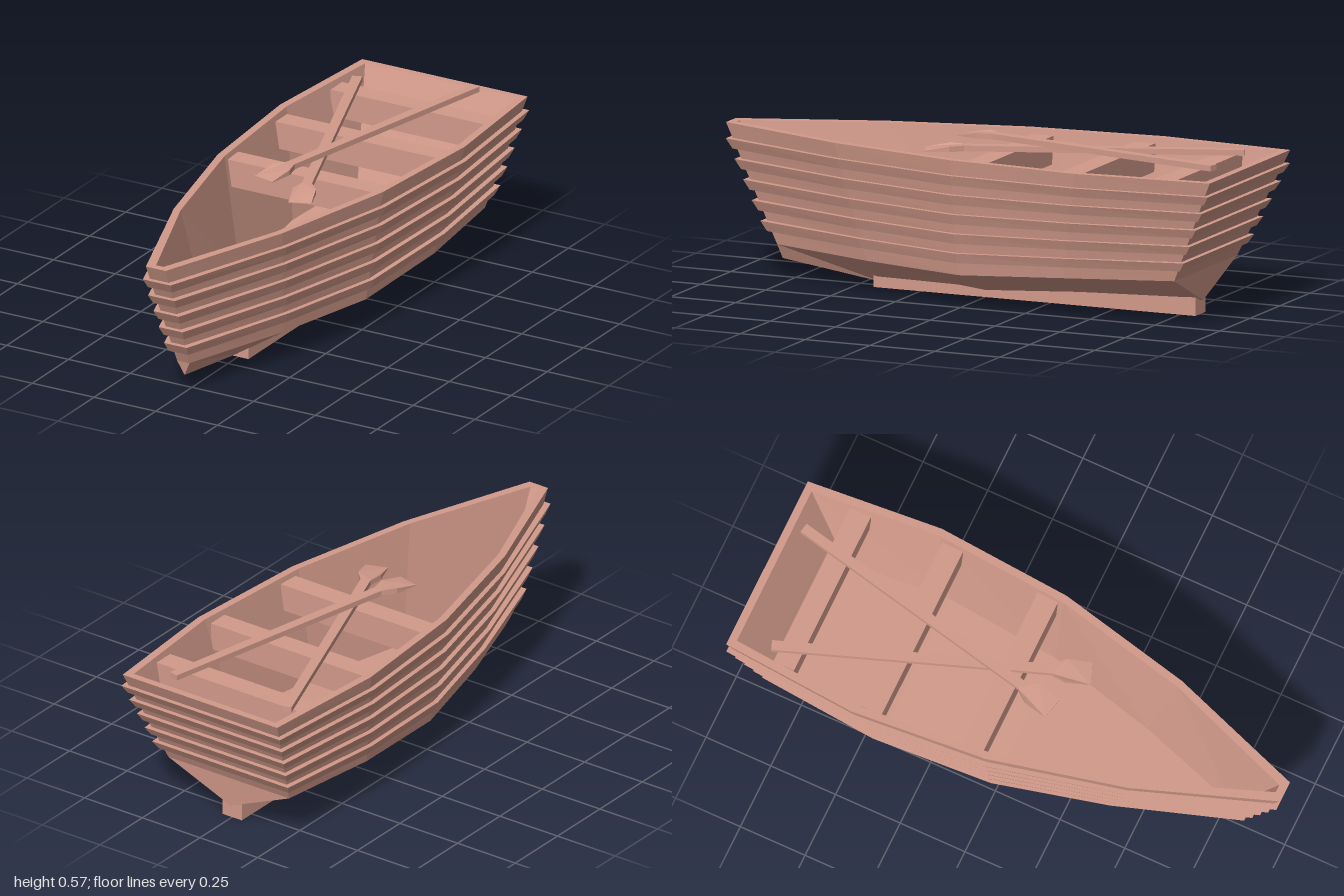
import * as THREE from 'three';

const wood = new THREE.MeshStandardMaterial({ color: 0xd29a8a, flatShading: true, side: THREE.DoubleSide });

// Half-hull stations from stern to bow: [half width, y, z]
const rim = [[0.335, 0.54, -1], [0.375, 0.54, -0.5], [0.335, 0.54, 0], [0.22, 0.54, 0.5], [0.04, 0.54, 1]];
const chine = [[0.262, 0.165, -0.83], [0.297, 0.148, -0.42], [0.265, 0.118, 0], [0.165, 0.118, 0.4], [0.025, 0.118, 0.81]];
const keelLine = [[0, 0.05, -0.82], [0, 0.035, -0.42], [0, 0.008, 0], [0, 0.012, 0.42], [0, 0.065, 0.8]];

// Mirrors half stations into a closed loop around the boat
const loop = (half) => [...half, ...half.map(([x, y, z]) => [-x, y, z]).reverse()];

// Loop at height t between chine (0) and rim (1), pushed outwards by d
function ringAt(t, d = 0) {
  return loop(chine.map((c, i) => {
    const [x, y, z] = c.map((v, k) => v + (rim[i][k] - v) * t);
    const end = i === 0 ? -d : i === 4 ? d : 0;
    return [Math.max(x + d, 0.015), y, z + end];
  }));
}

// Skins a list of closed loops
function loft(name, rings) {
  const pos = [];
  const n = rings[0].length;
  for (let k = 0; k < rings.length - 1; k++) {
    for (let i = 0; i < n; i++) {
      const j = (i + 1) % n;
      const [a, b, c, d] = [rings[k][i], rings[k][j], rings[k + 1][j], rings[k + 1][i]];
      pos.push(...a, ...d, ...c, ...a, ...c, ...b);
    }
  }
  const geo = new THREE.BufferGeometry();
  geo.setAttribute('position', new THREE.Float32BufferAttribute(pos, 3));
  geo.computeVertexNormals();
  const mesh = new THREE.Mesh(geo, wood);
  mesh.name = name;
  return mesh;
}

function box(name, w, h, d, x, y, z) {
  const mesh = new THREE.Mesh(new THREE.BoxGeometry(w, h, d), wood);
  mesh.name = name;
  mesh.position.set(x, y, z);
  return mesh;
}

// Oar lying flat from its handle end to its blade tip, given as [x, z]
function oar(name, handle, tip, y) {
  const dx = tip[0] - handle[0], dz = tip[1] - handle[1];
  const L = Math.hypot(dx, dz), thick = 0.02;
  const side = [[0, 0.018], [L - 0.14, 0.018], [L - 0.09, 0.041], [L, 0.041]];
  const outline = [...side, ...side.map(([u, w]) => [u, -w]).reverse()];
  const shape = new THREE.Shape(outline.map(([u, w]) => new THREE.Vector2(u, w)));
  const geo = new THREE.ExtrudeGeometry(shape, { depth: thick, bevelEnabled: false });
  // Thin the blade towards its tip
  const p = geo.attributes.position;
  for (let i = 0; i < p.count; i++) {
    if (p.getX(i) > L - 0.01 && p.getZ(i) > 0.01) p.setZ(i, 0.003);
  }
  geo.rotateX(-Math.PI / 2);
  geo.computeVertexNormals();
  const mesh = new THREE.Mesh(geo, wood);
  mesh.name = name;
  mesh.position.set(handle[0], y, handle[1]);
  mesh.rotation.y = Math.atan2(-dz, dx);
  return mesh;
}

export function createModel() {
  const boat = new THREE.Group();
  boat.name = 'rowingBoat';

  // V-shaped bottom and keel
  boat.add(loft('hullBottom', [loop(keelLine), ringAt(0)]));
  boat.add(box('keel', 0.084, 0.065, 1.24, 0, 0.0325, -0.19));

  // Lapped planking: five protruding lips below the rim
  const planks = [ringAt(0)];
  for (let k = 0; k < 5; k++) {
    const low = 0.11 + k * 0.169, high = low + 0.085;
    planks.push(ringAt(low), ringAt(low, 0.012), ringAt(high, 0.018), ringAt(high));
  }
  planks.push(ringAt(1));
  boat.add(loft('planking', planks));

  // Rim, inner walls and floor
  const floorEdge = ringAt(0.01, -0.02);
  boat.add(loft('rimCap', [ringAt(1), ringAt(1, -0.028)]));
  boat.add(loft('innerWall', [ringAt(1, -0.028), floorEdge]));
  boat.add(loft('floor', [floorEdge, floorEdge.map(([, y, z]) => [0, y, z])]));

  // Benches: [width, z]
  [[0.63, -0.787], [0.67, -0.44], [0.62, -0.06]].forEach(([w, z], i) => {
    boat.add(box('bench' + (i + 1), w, 0.1, 0.08, 0, 0.47, z));
  });

  // Crossed oars
  boat.add(oar('lowerOar', [-0.27, -0.855], [0.115, 0.2], 0.522));
  boat.add(oar('upperOar', [0.163, -0.935], [-0.07, 0.135], 0.55));
  return boat;
}
